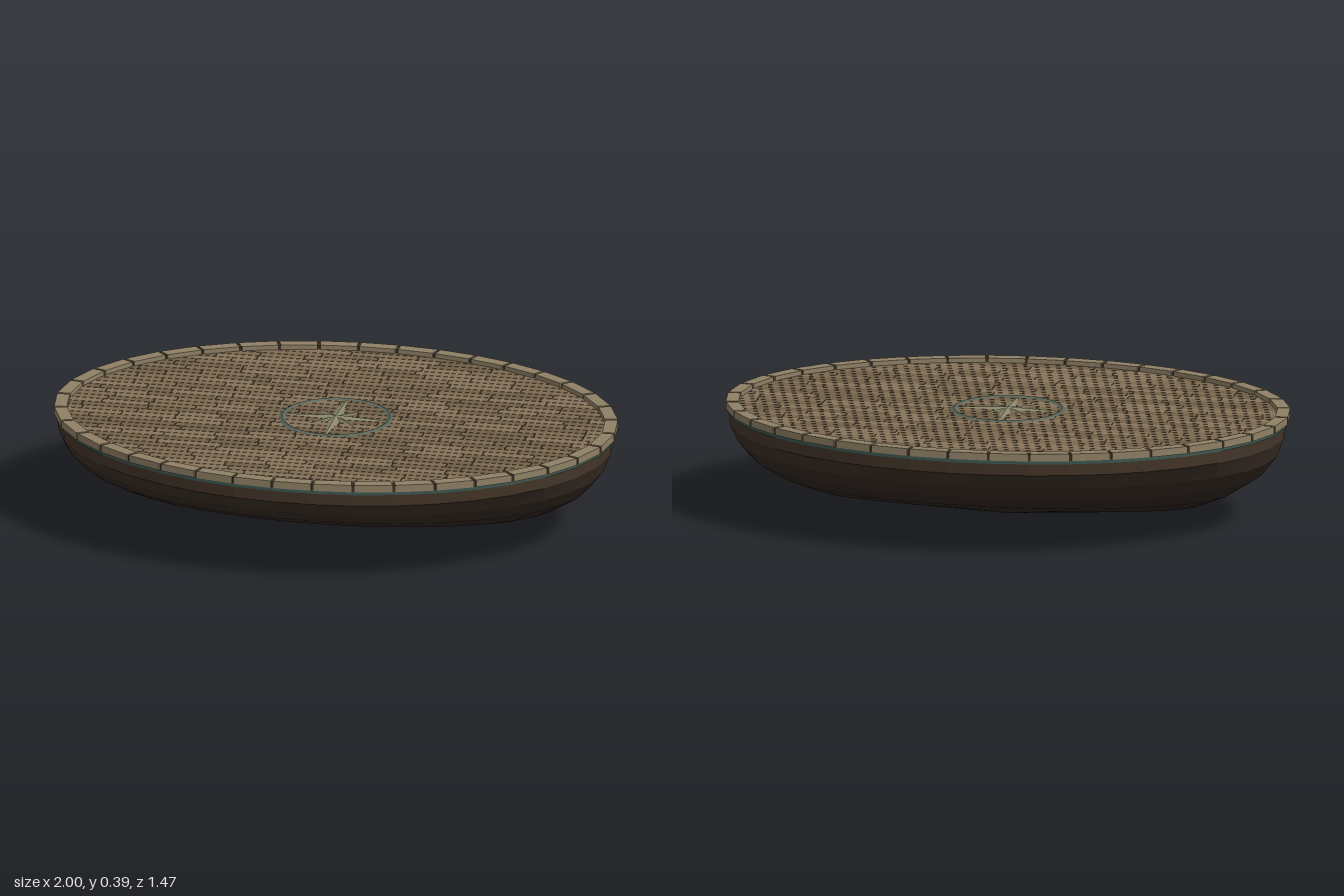
import * as THREE from 'three';
import { mergeGeometries } from 'three/addons/utils/BufferGeometryUtils.js';

const RX = 1, RZ = 0.737, SEGMENTS = 38;
const DECK_Y = 0.374;

const paint = (color, flatShading = true) => new THREE.MeshStandardMaterial({ color, flatShading });

function addMesh(group, name, geometry, material) {
  const mesh = new THREE.Mesh(geometry, material);
  mesh.name = name;
  group.add(mesh);
  return mesh;
}

// Angles that divide the ellipse into pieces of equal length
function equalArcAngles(count) {
  const steps = 3800, lengths = [0];
  for (let i = 0; i < steps; i++) {
    const a = ((i + 0.5) / steps) * Math.PI * 2;
    lengths.push(lengths[i] + Math.hypot(RX * Math.sin(a), RZ * Math.cos(a)));
  }
  const angles = [];
  for (let k = 0, i = 0; k < count; k++) {
    while (lengths[i] < (k / count) * lengths[steps] - 1e-9) i++;
    angles.push((i / steps) * Math.PI * 2);
  }
  return angles;
}
const ANGLES = equalArcAngles(SEGMENTS);

const ellipsePoints = (rx, rz) =>
  ANGLES.map(a => new THREE.Vector2(Math.cos(a) * rx, Math.sin(a) * rz));

// Flat slab standing from y0 to y1
function slab(points, y0, y1, hole) {
  const shape = new THREE.Shape(points);
  if (hole) shape.holes.push(new THREE.Path(hole));
  const g = new THREE.ExtrudeGeometry(shape, { depth: y1 - y0, bevelEnabled: false });
  return g.rotateX(-Math.PI / 2).translate(0, y0, 0);
}

// Side strip between two elliptical rings, each given as [y, rx, rz]
function strake(low, high) {
  const positions = [], index = [];
  for (let i = 0; i <= SEGMENTS; i++) {
    const a = ANGLES[i % SEGMENTS];
    for (const [y, rx, rz] of [low, high]) positions.push(Math.cos(a) * rx, y, Math.sin(a) * rz);
  }
  for (let i = 0; i < SEGMENTS; i++) {
    const a = i * 2;
    index.push(a, a + 1, a + 2, a + 1, a + 3, a + 2);
  }
  const g = new THREE.BufferGeometry();
  g.setAttribute('position', new THREE.Float32BufferAttribute(positions, 3));
  g.setIndex(index);
  g.computeVertexNormals();
  return g;
}

function buildHull() {
  const hull = new THREE.Group();
  hull.name = 'hull';
  const rings = [
    [0, 0.001, 0.001], [0.06, 0.69, 0.205], [0.11, 0.805, 0.375], [0.175, 0.905, 0.525],
    [0.245, 0.96, 0.645], [0.31, 0.985, 0.728], [0.356, 0.988, 0.732],
  ];
  const colors = [0x2b231e, 0x2d241f, 0x30261f, 0x352a22, 0x3c2f26, 0x453629];
  colors.forEach((c, i) => addMesh(hull, `strake${i + 1}`, strake(rings[i], rings[i + 1]), paint(c)));
  return hull;
}

function buildRim() {
  const rim = new THREE.Group();
  rim.name = 'rim';
  addMesh(rim, 'trimBand', slab(ellipsePoints(0.993, 0.733), 0.352, 0.366), paint(0x3c5650));
  addMesh(rim, 'rimSeams',
    slab(ellipsePoints(0.996, 0.733), 0.364, 0.386, ellipsePoints(0.96, 0.698)), paint(0x3a3024));
  // Coping blocks with narrow gaps
  const outer = ellipsePoints(RX, RZ), inner = ellipsePoints(0.955, 0.693);
  const blocks = outer.map((p, i) => {
    const j = (i + 1) % SEGMENTS, gap = 0.035;
    return slab([
      p.clone().lerp(outer[j], gap), p.clone().lerp(outer[j], 1 - gap),
      inner[i].clone().lerp(inner[j], 1 - gap), inner[i].clone().lerp(inner[j], gap),
    ], 0.364, 0.39);
  });
  addMesh(rim, 'rimBlocks', mergeGeometries(blocks), paint(0x8f8065));
  return rim;
}

function buildDeck() {
  const deck = new THREE.Group();
  deck.name = 'deck';
  addMesh(deck, 'deckBase', slab(ellipsePoints(0.975, 0.715), 0.358, DECK_Y - 0.004), paint(0x3a2f24));

  let seed = 7;
  const random = () => (seed = (seed * 16807) % 2147483647) / 2147483647;
  const limit = z => 0.97 * Math.sqrt(Math.max(0, 1 - (z / 0.711) ** 2));
  const shades = [0x7c6950, 0x877359, 0x705e47];
  const planks = shades.map(() => []);
  const rows = 39, pitch = 0.0365, seam = 0.003;

  // Rows of planks, their ends trimmed to the oval
  for (let r = 0; r < rows; r++) {
    const z = (r - (rows - 1) / 2) * pitch;
    const end = limit(Math.max(0, Math.abs(z) - pitch / 2));
    let x = -end - random() * 0.15;
    while (x < end) {
      const length = 0.14 + random() * 0.12;
      const g = new THREE.BoxGeometry(length - seam, 0.008, pitch - seam);
      g.translate(x + length / 2, DECK_Y - 0.004, z);
      const p = g.attributes.position;
      for (let i = 0; i < p.count; i++) {
        const m = limit(p.getZ(i));
        p.setX(i, THREE.MathUtils.clamp(p.getX(i), -m, m));
      }
      planks[Math.floor(random() * shades.length)].push(g);
      x += length;
    }
  }
  planks.forEach((list, i) => addMesh(deck, `planks${i + 1}`, mergeGeometries(list), paint(shades[i])));
  return deck;
}

function buildCompass() {
  const compass = new THREE.Group();
  compass.name = 'compassRose';
  compass.position.y = DECK_Y;
  const ring = new THREE.TorusGeometry(0.19, 0.011, 4, 40);
  ring.rotateX(Math.PI / 2).scale(1, 0.5, 1);
  addMesh(compass, 'compassRing', ring, paint(0x5a655a));
  // Eight ridged points, alternating long and short
  for (let i = 0; i < 8; i++) {
    const long = i % 2 === 0, length = long ? 0.205 : 0.13;
    const g = new THREE.ConeGeometry(long ? 0.024 : 0.018, length, 4);
    g.translate(0, length / 2, 0).rotateX(Math.PI / 2).scale(1, 0.4, 1);
    g.rotateY((i * Math.PI) / 4);
    addMesh(compass, 'compassPoint', g, paint(long ? 0x8a866c : 0x777660));
  }
  return compass;
}

export function createModel() {
  const model = new THREE.Group();
  model.name = 'ovalDeckPlatform';
  model.add(buildHull(), buildRim(), buildDeck(), buildCompass());
  return model;
}
